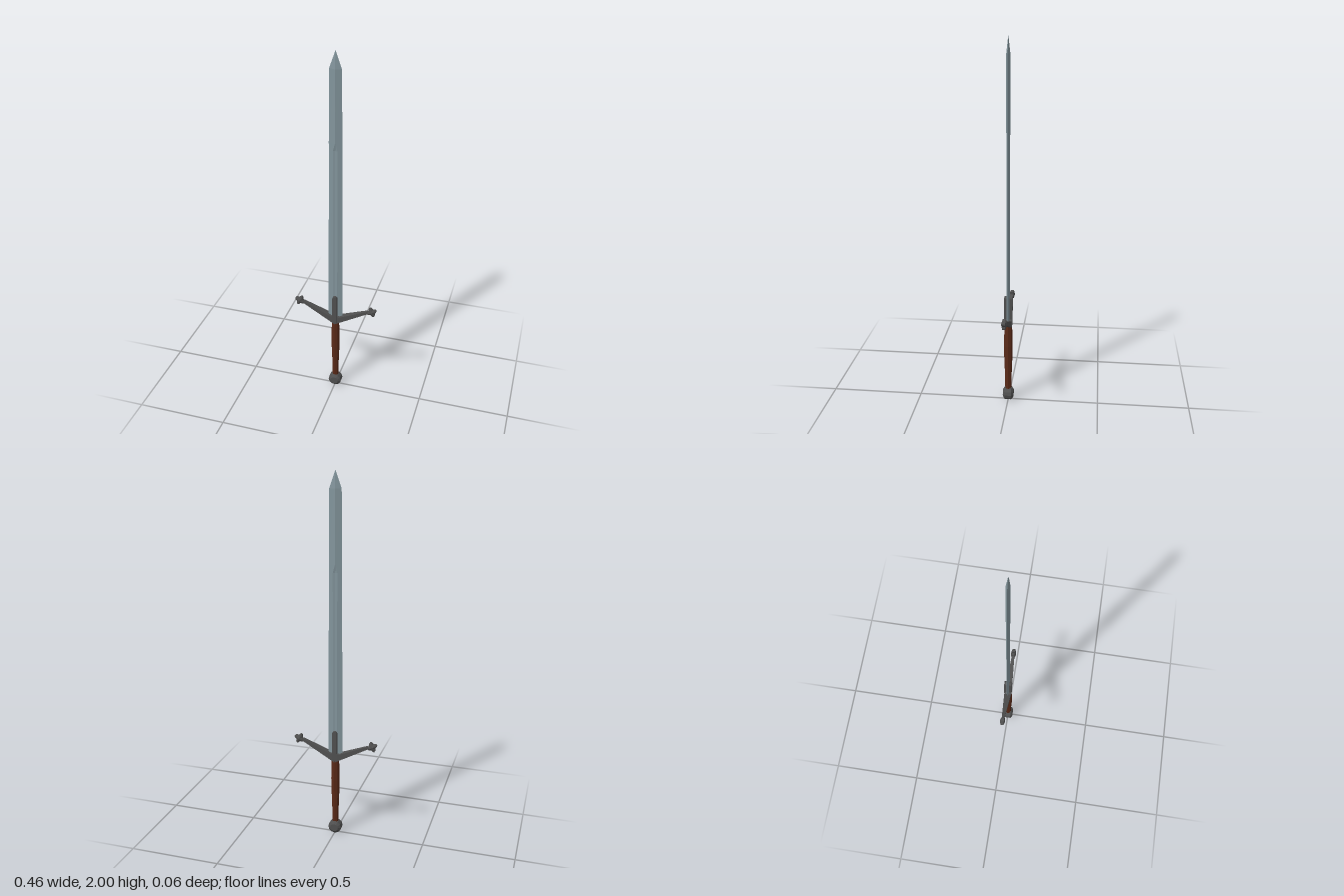
import * as THREE from 'three';

const steel = new THREE.MeshStandardMaterial({ name: 'blade steel', color: 0x82949b });
const iron = new THREE.MeshStandardMaterial({ name: 'dark iron', color: 0x505050 });
const leather = new THREE.MeshStandardMaterial({ name: 'brown leather', color: 0x5a2a18 });

// Faceted skin through closed rings of [x, y, z], counter-clockwise seen from the far end.
function loft(rings) {
  const n = rings[0].length, pos = [];
  const tri = (a, b, c) => pos.push(...a, ...b, ...c);
  for (let r = 0; r < rings.length - 1; r++) {
    for (let i = 0; i < n; i++) {
      const j = (i + 1) % n, a = rings[r], b = rings[r + 1];
      tri(a[i], a[j], b[j]);
      tri(a[i], b[j], b[i]);
    }
  }
  const first = rings[0], last = rings[rings.length - 1];
  for (let i = 1; i < n - 1; i++) {
    tri(first[0], first[i + 1], first[i]);
    tri(last[0], last[i], last[i + 1]);
  }
  const geo = new THREE.BufferGeometry();
  geo.setAttribute('position', new THREE.Float32BufferAttribute(pos, 3));
  geo.computeVertexNormals();
  return geo;
}

// Faceted solid of revolution about y.
function turned(profile, sides) {
  const geo = new THREE.LatheGeometry(profile.map(p => new THREE.Vector2(...p)), sides).toNonIndexed();
  geo.computeVertexNormals();
  return geo;
}

export function createModel() {
  const sword = new THREE.Group();
  sword.name = 'sword';
  const add = (name, geo, mat) => {
    const mesh = new THREE.Mesh(geo, mat);
    mesh.name = name;
    sword.add(mesh);
    return mesh;
  };

  // Blade: diamond section with a fuller up to y = 1.5; [y, half width, fuller half width, fuller edge, middle]
  const bladeSections = [
    [0.46, 0.040, 0.012, 0.008, 0.006],
    [1.49, 0.035, 0.012, 0.008, 0.006],
    [1.53, 0.035, 0.004, 0.0106, 0.012],
    [1.91, 0.032, 0.004, 0.0092, 0.0105],
    [2.00, 0, 0, 0, 0],
  ];
  add('blade', loft(bladeSections.map(([y, w, a, t, f]) => [
    [w, y, 0], [a, y, -t], [0, y, -f], [-a, y, -t],
    [-w, y, 0], [-a, y, t], [0, y, f], [a, y, t],
  ])), steel);

  // Crossguard: upswept arms tapering outward; [x, bottom, top, half depth]
  const armSections = [[0, 0.437, 0.495, 0.021], [0.024, 0.45, 0.486, 0.019], [0.185, 0.536, 0.552, 0.008]];
  const mirrored = armSections.slice(1).reverse().map(([x, ...rest]) => [-x, ...rest]);
  add('crossguard', loft([...mirrored, ...armSections].map(([x, lo, hi, d]) => [
    [x, lo, -d], [x, hi, -d], [x, hi, d], [x, lo, d],
  ])), iron);

  // Four-lobed finials, thickest at the centre
  const outline = (scale, z) => Array.from({ length: 24 }, (_, i) => {
    const angle = i * Math.PI / 12;
    const r = scale * (0.0225 + 0.006 * Math.cos(4 * angle));
    return [r * Math.cos(angle), r * Math.sin(angle), z];
  });
  const finialGeo = loft([outline(0.15, -0.015), outline(1, -0.008), outline(1, 0.008), outline(0.15, 0.015)]);
  finialGeo.rotateZ(0.47);
  for (const side of [1, -1]) {
    const finial = add(side > 0 ? 'leftFinial' : 'rightFinial', finialGeo, iron);
    finial.position.set(side * 0.207, 0.549, 0);
    if (side < 0) finial.rotation.y = Math.PI;
  }

  // Langets: round-topped tongues clasping both faces of the blade
  const tongue = new THREE.Shape();
  tongue.moveTo(-0.013, 0.45);
  tongue.lineTo(0.013, 0.45);
  tongue.lineTo(0.013, 0.608);
  tongue.absarc(0, 0.608, 0.013, 0, Math.PI, false);
  const langetGeo = new THREE.ExtrudeGeometry(tongue, { depth: 0.015, bevelEnabled: false, curveSegments: 4 });
  langetGeo.translate(0, 0, 0.006);
  add('frontLanget', langetGeo, iron);
  add('backLanget', langetGeo, iron).rotation.y = Math.PI;

  // Grip, swelling in the middle
  add('grip', turned([
    [0, 0.06], [0.017, 0.06], [0.019, 0.16], [0.0235, 0.28],
    [0.0245, 0.33], [0.023, 0.37], [0.021, 0.455], [0, 0.455],
  ], 8), leather);

  // Disc pommel with bevelled rims, facing front and back
  const pommelGeo = turned([
    [0, -0.029], [0.022, -0.029], [0.0365, -0.018], [0.0365, 0.018], [0.022, 0.029], [0, 0.029],
  ], 12);
  pommelGeo.rotateX(Math.PI / 2);
  add('pommel', pommelGeo, iron).position.y = 0.0365;

  return sword;
}
